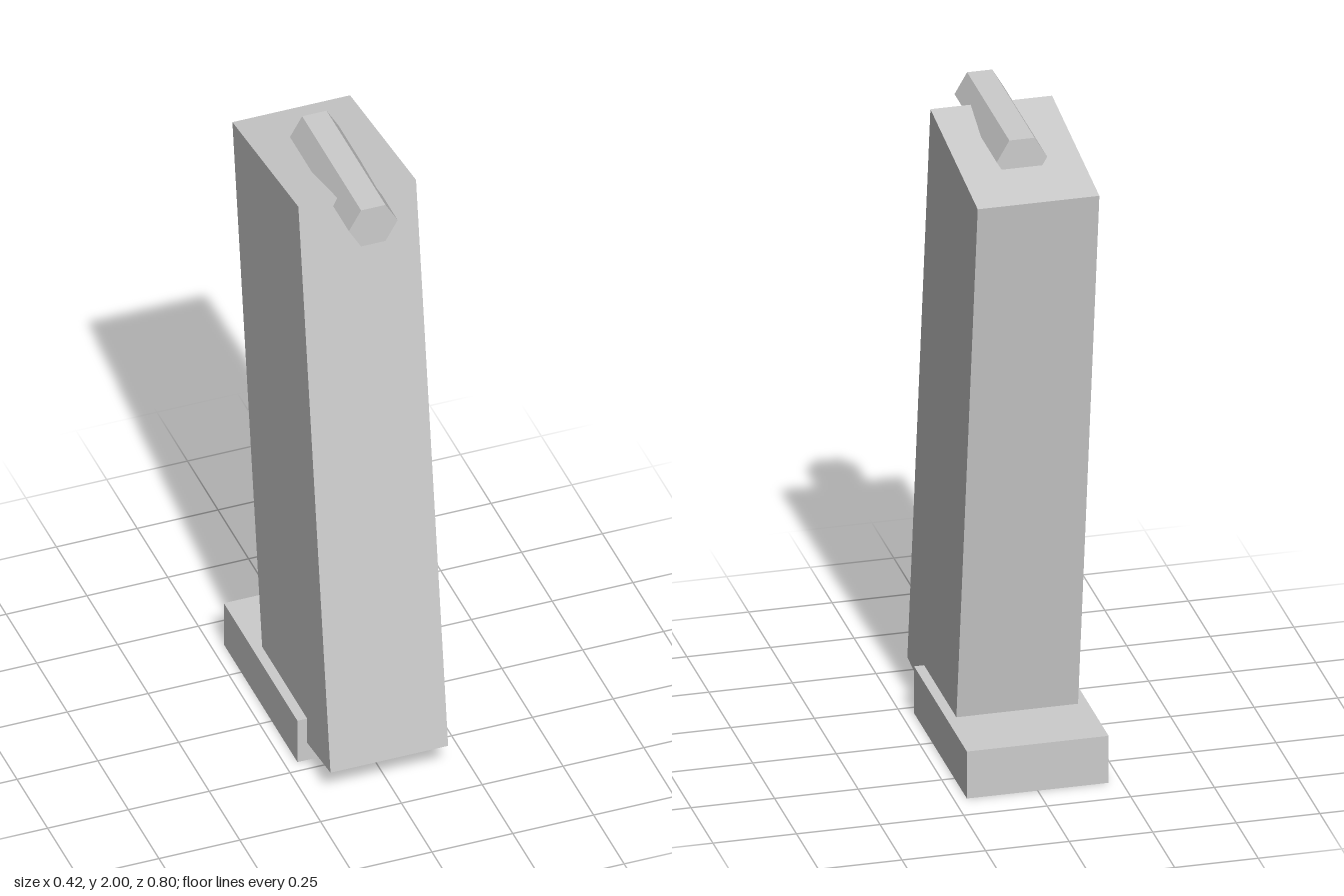
import * as THREE from 'three';

export function createModel() {
  const model = new THREE.Group();
  const lightGrey = new THREE.MeshStandardMaterial({ color: 0xcccccc, flatShading: true });
  lightGrey.name = 'lightGrey';

  const add = (name, geometry, y, z) => {
    const mesh = new THREE.Mesh(geometry, lightGrey);
    mesh.name = name;
    mesh.position.set(0, y, z);
    model.add(mesh);
    return mesh;
  };

  // Tall body leaning backwards
  const body = add('body', new THREE.BoxGeometry(0.364, 1.888, 0.545), 0.986, 0);
  body.rotation.x = THREE.MathUtils.degToRad(-8);

  // Flat base plate
  add('basePlate', new THREE.BoxGeometry(0.424, 0.15, 0.602), 0.075, -0.091);

  // Hexagonal rod lying front to back on top, flat side up
  const rod = new THREE.CylinderGeometry(0.0755, 0.0755, 0.482, 6, 1, false, Math.PI / 6);
  rod.rotateX(Math.PI / 2);
  add('topRod', rod, 1.9346, 0.029);

  return model;
}
